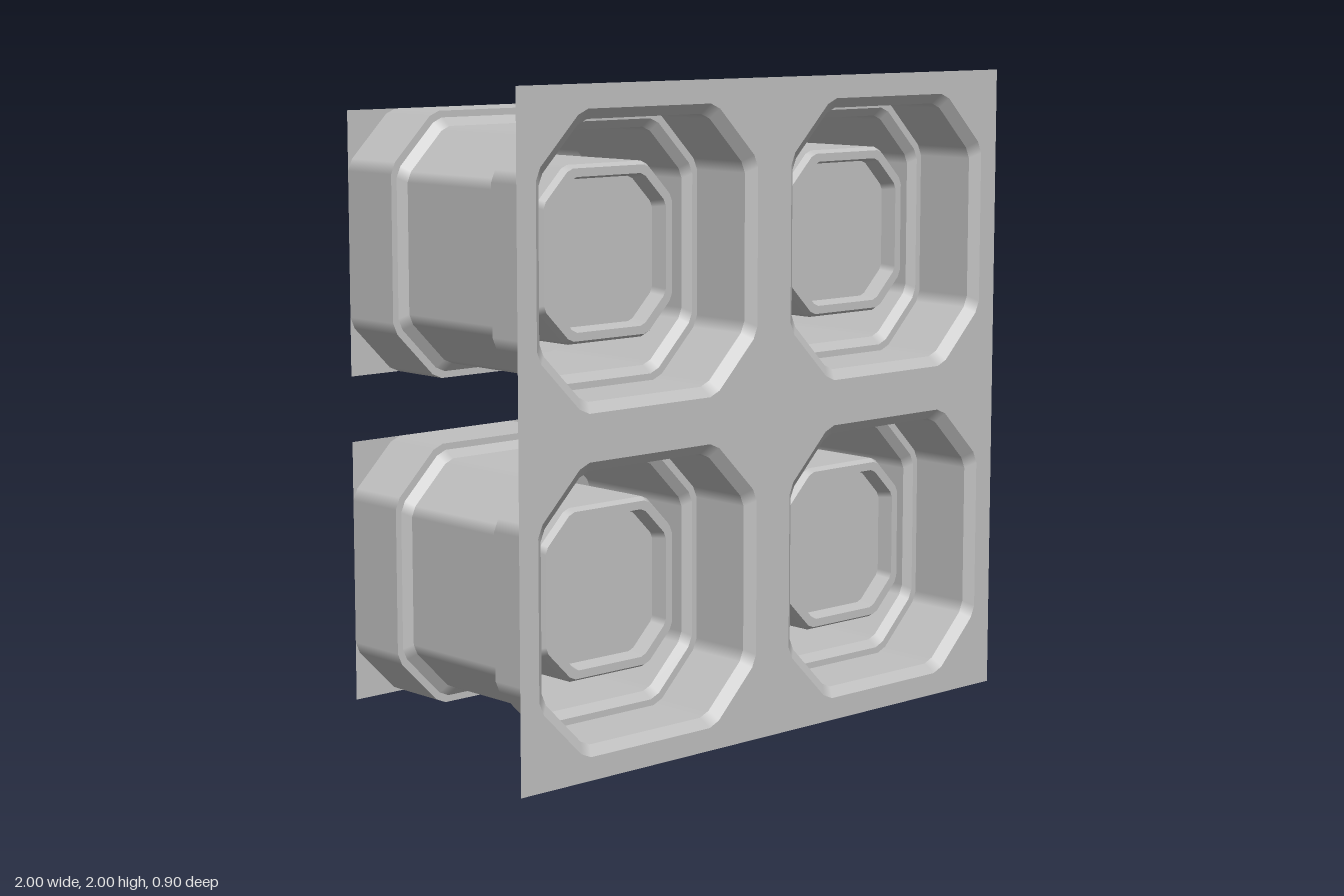
import * as THREE from 'three';

// Cross-section corners as [x, y, normalX, normalY], for a half-width of 1
const D = Math.SQRT1_2;
const OCTAGON = [[1, 0.55, 1, 0], [0.9625, 0.6375, D, D], [0.6375, 0.9625, D, D], [0.55, 1, 0, 1]];
const SQUARE = [[1, 1, 1, 0], [1, 1, 0, 1]];

// Repeat one corner around all four quadrants, counter-clockwise
function ringOf(corner) {
  const ring = [];
  for (let q = 0; q < 4; q++) {
    const c = [1, 0, -1, 0][q], s = [0, 1, 0, -1][q];
    for (const [x, y, nx, ny] of corner) {
      ring.push([x * c - y * s, x * s + y * c, nx * c - ny * s, nx * s + ny * c]);
    }
  }
  return ring;
}

// Sweep a ring along a profile of [halfWidth, z], with a sharp edge between bands
function sweep(corner, profile) {
  const ring = ringOf(corner), n = ring.length;
  const pos = [], nor = [], idx = [];
  for (let k = 0; k + 1 < profile.length; k++) {
    const [r0, z0] = profile[k], [r1, z1] = profile[k + 1];
    const len = Math.hypot(r1 - r0, z1 - z0);
    const out = (z1 - z0) / len, fwd = (r0 - r1) / len;
    const base = pos.length / 3;
    for (const [r, z] of [[r0, z0], [r1, z1]]) {
      for (const [x, y, nx, ny] of ring) {
        pos.push(x * r, y * r, z);
        nor.push(nx * out, ny * out, fwd);
      }
    }
    for (let i = 0; i < n; i++) {
      const a = base + i, b = base + (i + 1) % n;
      idx.push(a, b, b + n, a, b + n, a + n);
    }
  }
  const g = new THREE.BufferGeometry();
  g.setAttribute('position', new THREE.Float32BufferAttribute(pos, 3));
  g.setAttribute('normal', new THREE.Float32BufferAttribute(nor, 3));
  g.setIndex(idx);
  return g;
}

// Closed path of a ring at a given size and centre
function outline(PathType, corner, r, cx = 0, cy = 0) {
  return new PathType(ringOf(corner).map(([x, y]) => new THREE.Vector2(cx + x * r, cy + y * r)));
}

export function createModel() {
  const model = new THREE.Group();
  model.name = 'socketPanel';
  const grey = new THREE.MeshStandardMaterial({ color: 0xc0c0c0, side: THREE.DoubleSide });
  grey.name = 'light grey';
  const add = (parent, name, geometry) => {
    const mesh = new THREE.Mesh(geometry, grey);
    mesh.name = name;
    parent.add(mesh);
    return mesh;
  };

  const centres = [[-0.5, 0.5], [0.5, 0.5], [-0.5, 1.5], [0.5, 1.5]];

  // Front sheet with four openings
  const sheet = new THREE.Shape([[-1, 0], [1, 0], [1, 2], [-1, 2]].map(p => new THREE.Vector2(...p)));
  for (const [x, y] of centres) sheet.holes.push(outline(THREE.Path, OCTAGON, 0.43, x, y));
  add(model, 'frontPanel', new THREE.ShapeGeometry(sheet)).position.z = 0.45;

  // Outer shell: flared lip, front collar, narrow waist, rear collar
  const shell = sweep(OCTAGON, [
    [0.4, -0.45], [0.4, -0.24], [0.38, -0.24], [0.355, -0.22],
    [0.355, 0.2], [0.38, 0.22], [0.4, 0.22], [0.4, 0.425], [0.43, 0.45],
  ]);

  // Centre post with bevelled rim and shallow recess
  const post = sweep(OCTAGON, [
    [0.26, -0.45], [0.26, 0.25], [0.25, 0.27], [0.225, 0.27], [0.215, 0.22], [0, 0.22],
  ]);

  // Square bore opening at the back
  const bore = sweep(SQUARE, [[0, 0.19], [0.205, 0.19], [0.205, -0.45]]);

  // Square rear sheet, pierced by the bore
  const rear = outline(THREE.Shape, SQUARE, 0.4);
  rear.holes.push(outline(THREE.Path, SQUARE, 0.205));
  const rearPlate = new THREE.ShapeGeometry(rear);
  rearPlate.rotateY(Math.PI).translate(0, 0, -0.45);

  for (const [x, y] of centres) {
    const socket = new THREE.Group();
    socket.name = 'socket';
    socket.position.set(x, y, 0);
    add(socket, 'outerShell', shell);
    add(socket, 'centrePost', post);
    add(socket, 'rearBore', bore);
    add(socket, 'rearPlate', rearPlate);
    model.add(socket);
  }
  return model;
}
